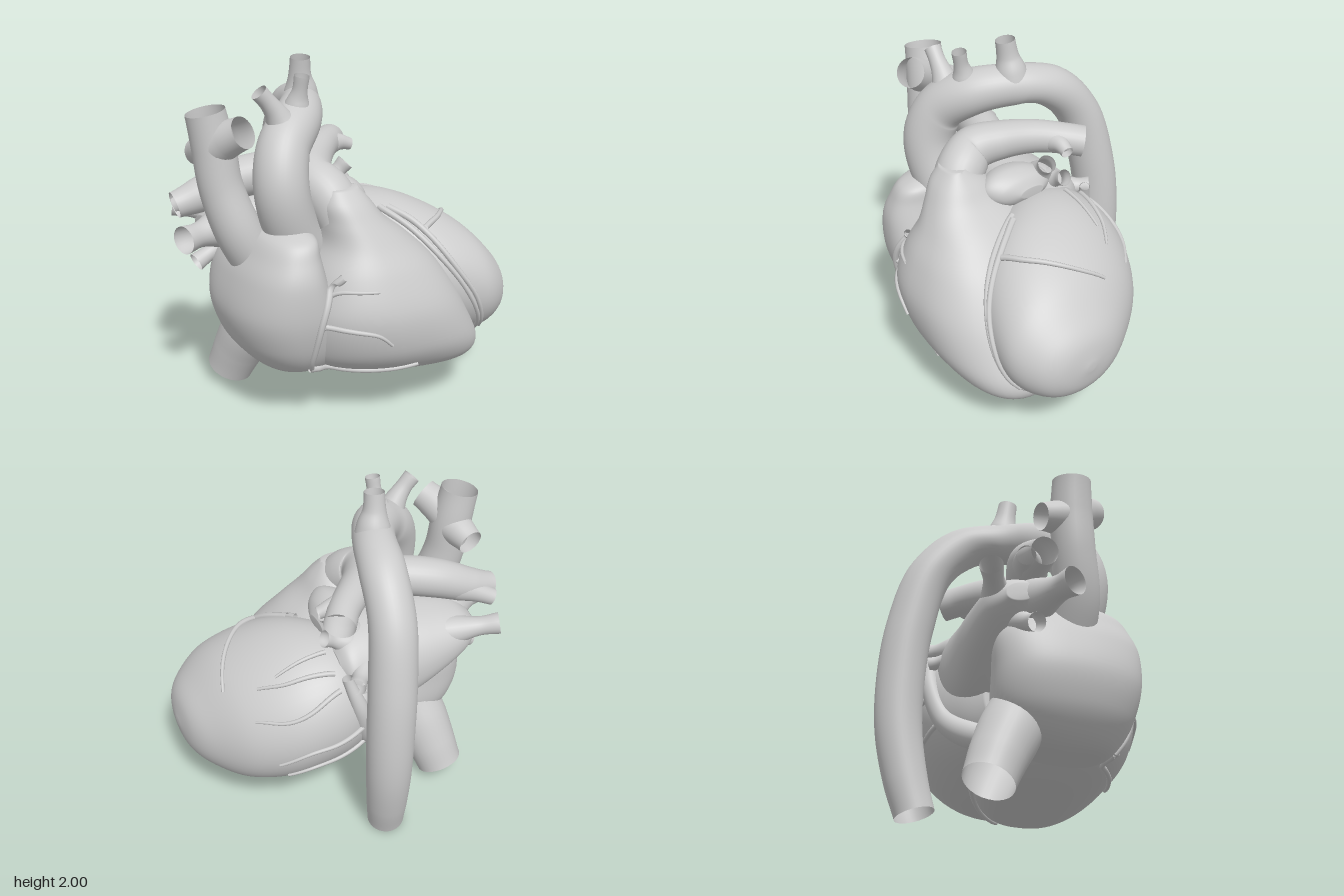
import * as THREE from 'three';

const solid = new THREE.MeshStandardMaterial({ color: 0xcccccc });
const open = new THREE.MeshStandardMaterial({ color: 0xcccccc, side: THREE.DoubleSide });
const V = (p) => new THREE.Vector3(p[0], p[1], p[2]);

// Smooth skin over a grid of closed rings
function skin(rings, cols, point, cap) {
  const pos = [], idx = [];
  for (let i = 0; i <= rings; i++)
    for (let j = 0; j < cols; j++) pos.push(...point(i / rings, (j / cols) * Math.PI * 2));
  for (let i = 0; i < rings; i++)
    for (let j = 0; j < cols; j++) {
      const k = (j + 1) % cols, a = i * cols + j, b = i * cols + k;
      idx.push(a, a + cols, b, b, a + cols, b + cols);
    }
  if (cap) for (let j = 1; j < cols - 1; j++) {
    const e = rings * cols;
    idx.push(0, j, j + 1, e, e + j + 1, e + j);
  }
  const g = new THREE.BufferGeometry();
  g.setAttribute('position', new THREE.Float32BufferAttribute(pos, 3));
  g.setIndex(idx);
  g.computeVertexNormals();
  return g;
}

// Catmull-Rom interpolation of rows of numbers
function rowAt(rows, t) {
  const f = t * (rows.length - 1), i = Math.min(Math.floor(f), rows.length - 2), u = f - i;
  const p = rows[Math.max(i - 1, 0)], a = rows[i], b = rows[i + 1], q = rows[Math.min(i + 2, rows.length - 1)];
  return a.map((v, k) => v + 0.5 * u * (b[k] - p[k] + u * (2 * p[k] - 5 * v + 4 * b[k] - q[k] + u * (3 * (v - b[k]) + q[k] - p[k]))));
}

export function createModel() {
  const group = new THREE.Group();
  const add = (name, geo, mat) => {
    const m = new THREE.Mesh(geo, mat);
    m.name = name;
    group.add(m);
    return m;
  };

  // Chamber from rounded sections: [height, aMin, aMax, bMin, bMax, shear]
  const chamber = (name, axis, rows, e) => add(name, skin(56, 56, (t, w) => {
    const [h, a0, a1, b0, b1, s] = rowAt(rows, t);
    const pw = (v) => Math.sign(v) * Math.abs(v) ** e;
    const c = pw(Math.cos(w)), d = pw(Math.sin(w));
    const a = (a0 + a1) / 2 + (c * (a1 - a0)) / 2;
    const b = (b0 + b1) / 2 + (d * (b1 - b0)) / 2 + s * c;
    return axis === 'y' ? [a, h, b] : [h, b, a];
  }, true), solid);

  // Open tapering vessel through points [x, y, z, radius]
  const vessel = (name, pts, rings = 40, cols = 28) => {
    const curve = new THREE.CatmullRomCurve3(pts.map(V));
    const fr = curve.computeFrenetFrames(rings);
    const radii = pts.map((p) => [p[3]]);
    return add(name, skin(rings, cols, (t, w) => {
      const i = Math.round(t * rings), r = rowAt(radii, t);
      return curve.getPoint(t)
        .addScaledVector(fr.normals[i], r[0] * Math.cos(w))
        .addScaledVector(fr.binormals[i], -r[0] * Math.sin(w)).toArray();
    }), open);
  };

  // Ventricles
  const leftVentricle = chamber('leftVentricle', 'x', [
    [-0.22, -0.22, 0.1, 0.5, 0.9, 0], [-0.1, -0.34, 0.2, 0.42, 1.02, 0],
    [0.1, -0.46, 0.34, 0.36, 1.15, 0], [0.3, -0.485, 0.5, 0.31, 1.17, 0],
    [0.5, -0.44, 0.59, 0.27, 1.11, 0], [0.7, -0.31, 0.62, 0.27, 0.99, 0],
    [0.85, -0.11, 0.55, 0.33, 0.84, 0], [0.93, 0.05, 0.44, 0.42, 0.73, 0],
    [0.96, 0.22, 0.28, 0.55, 0.6, 0]], 0.97);
  const rightVentricle = chamber('rightVentricle', 'y', [
    [0.205, 0.3, 0.5, 0.2, 0.3, 0.02], [0.22, 0.13, 0.62, 0.06, 0.47, 0.06],
    [0.28, -0.18, 0.69, -0.08, 0.6, 0.09], [0.37, -0.38, 0.7, -0.14, 0.69, 0.08],
    [0.5, -0.43, 0.64, -0.16, 0.75, 0.05], [0.7, -0.43, 0.53, -0.13, 0.76, 0.02],
    [0.9, -0.36, 0.4, -0.08, 0.69, 0], [1.05, -0.28, 0.25, -0.02, 0.6, -0.01],
    [1.17, -0.27, 0.1, 0.07, 0.53, 0], [1.27, -0.27, 0.02, 0.16, 0.47, 0],
    [1.35, -0.23, -0.05, 0.28, 0.4, 0]], 0.82);

  // Atria
  const rightAtrium = chamber('rightAtrium', 'y', [
    [0.3, -0.46, -0.32, 0.1, 0.22, 0.01], [0.33, -0.56, -0.22, -0.06, 0.4, 0.02],
    [0.4, -0.65, -0.18, -0.18, 0.48, 0.03], [0.52, -0.73, -0.16, -0.26, 0.54, 0.03],
    [0.7, -0.775, -0.2, -0.28, 0.58, 0.04], [0.9, -0.735, -0.27, -0.27, 0.58, 0.04],
    [1.03, -0.67, -0.31, -0.15, 0.54, 0.04], [1.12, -0.61, -0.33, -0.02, 0.49, 0.04],
    [1.165, -0.53, -0.39, 0.16, 0.38, 0.03]], 0.84);
  chamber('leftAtrium', 'x', [
    [-0.74, -0.3, -0.14, 1.02, 1.12, 0.02], [-0.64, -0.38, -0.03, 0.94, 1.19, 0.03],
    [-0.42, -0.41, 0.05, 0.82, 1.23, 0.06], [-0.18, -0.41, 0.08, 0.7, 1.24, 0.06],
    [0, -0.41, 0.06, 0.7, 1.24, 0.06], [0.1, -0.39, -0.04, 0.84, 1.2, 0.05],
    [0.15, -0.31, -0.15, 1, 1.13, 0.02]], 0.88);
  chamber('leftAuricle', 'x', [
    [-0.12, -0.04, 0.1, 1.14, 1.24, 0], [-0.06, -0.14, 0.2, 1.1, 1.29, 0.01],
    [0.03, -0.18, 0.25, 1.09, 1.31, 0.01], [0.11, -0.16, 0.19, 1.11, 1.28, 0],
    [0.155, -0.08, 0.08, 1.16, 1.22, 0]], 0.95);

  // Aorta and arch branches
  vessel('aorta', [
    [-0.24, 0.9, 0.2, 0.14], [-0.4, 1.12, 0.25, 0.15], [-0.47, 1.38, 0.265, 0.15],
    [-0.42, 1.57, 0.2, 0.145], [-0.28, 1.68, 0.09, 0.135], [-0.16, 1.715, -0.09, 0.12],
    [-0.09, 1.675, -0.31, 0.128], [-0.05, 1.475, -0.505, 0.13], [-0.01, 1.12, -0.605, 0.135],
    [0.01, 0.8, -0.638, 0.135], [0.01, 0.5, -0.635, 0.13], [-0.01, 0.22, -0.59, 0.12],
    [-0.035, 0.025, -0.54, 0.11]], 96, 36);
  vessel('archBranchRight', [[-0.39, 1.65, 0.17, 0.1], [-0.44, 1.75, 0.17, 0.065], [-0.49, 1.82, 0.17, 0.048], [-0.54, 1.88, 0.165, 0.048]]);
  vessel('archBranchMiddle', [[-0.3, 1.69, 0.11, 0.1], [-0.295, 1.79, 0.13, 0.065], [-0.29, 1.86, 0.15, 0.042], [-0.285, 1.94, 0.165, 0.042]]);
  vessel('archBranchLeft', [[-0.15, 1.71, -0.1, 0.11], [-0.155, 1.81, -0.09, 0.09], [-0.165, 1.89, -0.08, 0.064], [-0.17, 1.99, -0.065, 0.056]]);

  // Pulmonary artery: trunk into the left branch, and the right branch
  vessel('pulmonaryTrunk', [
    [-0.14, 1.17, 0.33, 0.14], [-0.18, 1.29, 0.25, 0.142], [-0.215, 1.36, 0.13, 0.132],
    [-0.13, 1.405, -0.01, 0.112], [0, 1.435, -0.15, 0.096], [0.11, 1.43, -0.26, 0.09], [0.18, 1.41, -0.35, 0.09]], 56);
  vessel('leftPulmonaryBranch', [[0.08, 1.43, -0.2, 0.07], [0.16, 1.43, -0.2, 0.05], [0.23, 1.41, -0.19, 0.035]]);
  vessel('rightPulmonaryArtery', [
    [-0.14, 1.38, 0.04, 0.1], [-0.36, 1.38, -0.03, 0.115], [-0.58, 1.34, -0.11, 0.115],
    [-0.76, 1.27, -0.15, 0.1], [-0.91, 1.23, -0.16, 0.075]]);
  vessel('rightPulmonaryBranch', [[-0.68, 1.28, -0.16, 0.08], [-0.79, 1.24, -0.21, 0.06], [-0.88, 1.2, -0.25, 0.05]]);

  // Venae cavae
  vessel('superiorVenaCava', [
    [-0.56, 0.92, 0.14, 0.13], [-0.67, 1.14, 0.13, 0.13], [-0.74, 1.38, 0.09, 0.12],
    [-0.765, 1.6, 0.07, 0.118], [-0.8, 1.79, 0.06, 0.108]]);
  vessel('superiorVenaCavaFrontBranch', [[-0.76, 1.6, 0.08, 0.11], [-0.72, 1.65, 0.15, 0.1], [-0.67, 1.7, 0.24, 0.088]]);
  vessel('superiorVenaCavaRearBranch', [[-0.76, 1.57, 0.06, 0.11], [-0.77, 1.55, -0.04, 0.09], [-0.78, 1.53, -0.12, 0.075]]);
  vessel('inferiorVenaCava', [[-0.43, 0.55, -0.1, 0.16], [-0.47, 0.38, -0.18, 0.17], [-0.51, 0.22, -0.26, 0.155], [-0.545, 0.08, -0.32, 0.14]]);

  // Pulmonary veins, each flaring out of the left atrium
  [
    ['rightUpperVein', [-0.5, 1.08, -0.16], [-0.93, 1.08, 0], 0.075],
    ['rightRearVein', [-0.4, 1.05, -0.2], [-0.82, 1.14, -0.42], 0.06],
    ['rightLowerVein', [-0.46, 1.02, -0.2], [-0.8, 0.87, -0.16], 0.05],
    ['leftUpperVein', [-0.02, 1.14, -0.16], [0.15, 1.33, -0.11], 0.05],
    ['leftMiddleVein', [-0.02, 1.12, -0.2], [0.2, 1.23, -0.2], 0.045],
    ['leftLowerVein', [-0.06, 1.04, -0.24], [0.13, 1.05, -0.46], 0.05],
    ['leftRearVein', [-0.06, 1.0, -0.24], [0.08, 0.96, -0.45], 0.04],
  ].forEach(([name, a, b, r]) => {
    const at = (t, k) => [...V(a).lerp(V(b), t).toArray(), r * k];
    vessel(name, [at(0, 1.8), at(0.4, 1.55), at(0.75, 0.95), at(1, 1.05)], 24, 24);
  });

  // Vein running in the rear groove
  vessel('coronarySinus', [[0.16, 1.08, -0.4, 0.03], [0.09, 0.85, -0.44, 0.05], [0.01, 0.6, -0.37, 0.065], [-0.14, 0.47, -0.25, 0.075], [-0.32, 0.42, -0.12, 0.06]]);

  // Coronary vessels: flat paths projected onto the chambers
  const ray = new THREE.Raycaster();
  const walls = [leftVentricle, rightVentricle, rightAtrium];
  const sides = {
    front: [(u, v) => [u, v, 3], [0, 0, -1]],
    back: [(u, v) => [u, v, -3], [0, 0, 1]],
    top: [(u, v) => [u, 3, v], [0, -1, 0]],
    bottom: [(u, v) => [u, -3, v], [0, 1, 0]],
  };
  const coronary = (name, side, r, path) => {
    const line = new THREE.SplineCurve(path.map((p) => new THREE.Vector2(...p)));
    const [from, dir] = sides[side], pts = [];
    for (const p of line.getPoints(14)) {
      ray.set(V(from(p.x, p.y)), V(dir));
      const hit = ray.intersectObjects(walls)[0];
      if (hit) pts.push([...hit.point.addScaledVector(V(dir), -r * 0.4).toArray(), r * (1 - 0.5 * pts.length / 15)]);
    }
    if (pts.length > 2) vessel(name, pts, 48, 8);
  };
  coronary('anteriorArtery', 'front', 0.022, [[0.24, 1.13], [0.32, 1.08], [0.39, 0.99], [0.49, 0.82], [0.6, 0.64], [0.7, 0.4]]);
  coronary('anteriorVein', 'front', 0.02, [[0.2, 1.13], [0.29, 1.05], [0.4, 0.9], [0.52, 0.72], [0.64, 0.5], [0.69, 0.36]]);
  coronary('diagonalArtery', 'top', 0.018, [[0.38, 0.4], [0.5, 0.34], [0.62, 0.22], [0.7, 0.1], [0.75, -0.02]]);
  coronary('upperMarginalArtery', 'top', 0.016, [[0.2, -0.33], [0.36, -0.29], [0.48, -0.25], [0.6, -0.17]]);
  coronary('innerMarginalArtery', 'top', 0.014, [[0.2, -0.21], [0.36, -0.2], [0.5, -0.19]]);
  coronary('rearMarginalArtery', 'top', 0.016, [[0.2, -0.4], [0.38, -0.42], [0.52, -0.38], [0.66, -0.27]]);
  coronary('rightCoronaryArtery', 'front', 0.024, [[-0.27, 0.93], [-0.34, 0.85], [-0.41, 0.68], [-0.43, 0.46], [-0.4, 0.36]]);
  coronary('conusBranch', 'front', 0.016, [[-0.34, 0.83], [-0.28, 0.86], [-0.12, 0.86]]);
  coronary('rightVentricularBranch', 'front', 0.016, [[-0.4, 0.67], [-0.25, 0.65], [-0.14, 0.62], [-0.06, 0.55]]);
  coronary('acuteMarginalBranch', 'front', 0.02, [[-0.42, 0.38], [-0.25, 0.345], [0, 0.34], [0.15, 0.36]]);
  coronary('posteriorArtery', 'bottom', 0.022, [[-0.12, -0.18], [0.08, -0.19], [0.3, -0.1], [0.48, 0.02], [0.62, 0.18]]);
  coronary('rearUpperBranch', 'back', 0.016, [[0.08, 0.74], [0.25, 0.7], [0.42, 0.68], [0.58, 0.6]]);
  coronary('rearLowerBranch', 'back', 0.016, [[0.05, 0.58], [0.22, 0.53], [0.38, 0.52], [0.52, 0.47]]);
  return group;
}
